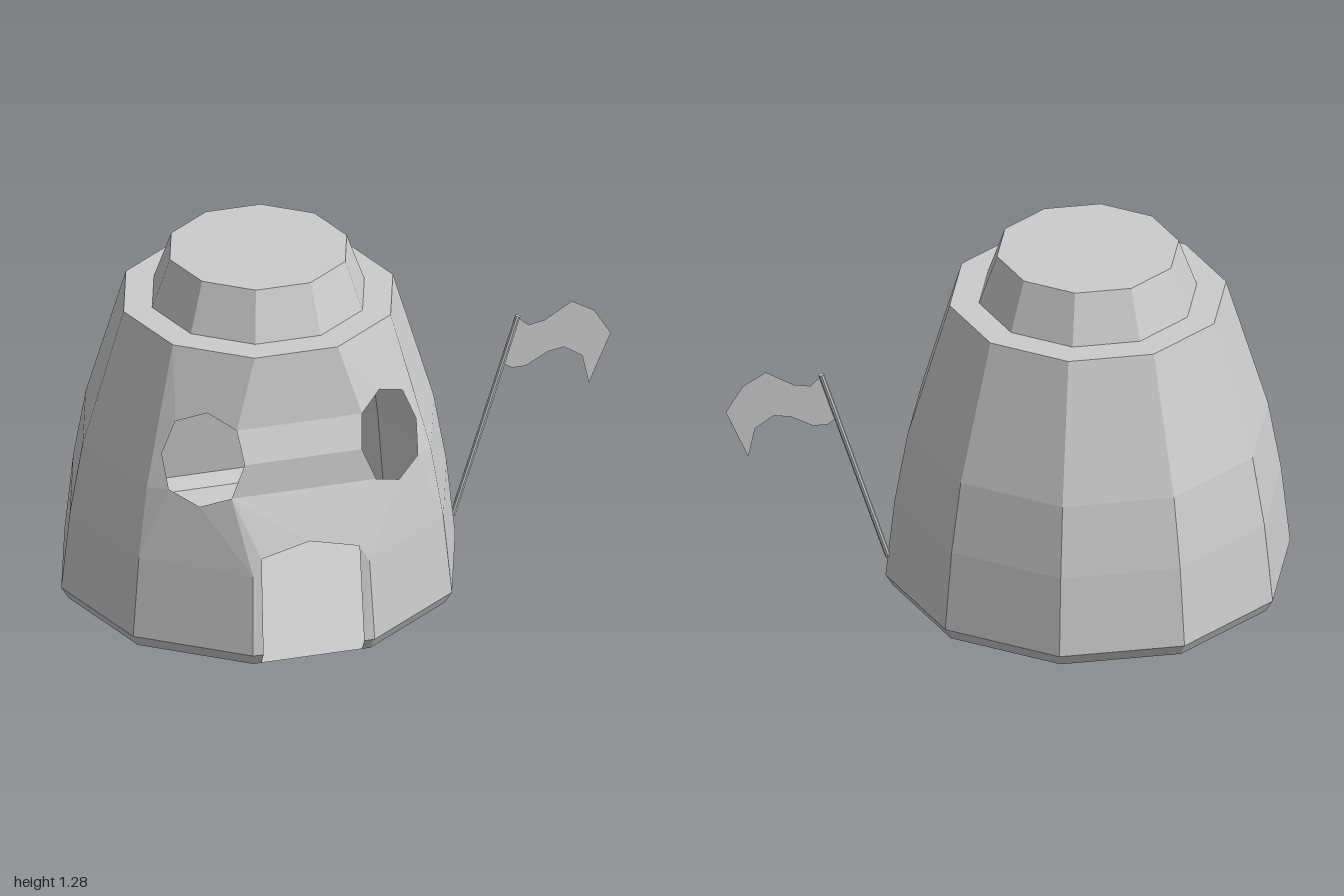
import * as THREE from 'three';

const CX = -0.283, SIDES = 10;
const grey = () => new THREE.MeshStandardMaterial({ color: 0xcccccc, flatShading: true, side: THREE.DoubleSide });

// Corner of the ten-sided tower; angle index 0 points to +x, index 2.5 to +z
const corner = (i, r, y) => {
  const a = (i * 2 * Math.PI) / SIDES;
  return [CX + r * Math.cos(a), y, r * Math.sin(a)];
};
const mirror = ([x, y, z]) => [2 * CX - x, y, z];

// Collects convex polygons (corners counter-clockwise from outside) as triangles
class Faces {
  constructor() { this.positions = []; }
  add(...p) {
    for (let i = 1; i < p.length - 1; i++) this.positions.push(...p[0], ...p[i], ...p[i + 1]);
  }
  addBoth(...p) {
    this.add(...p);
    this.add(...p.map(mirror).reverse());
  }
  band(i, r0, y0, r1, y1) {
    this.add(corner(i, r0, y0), corner(i, r1, y1), corner(i + 1, r1, y1), corner(i + 1, r0, y0));
  }
  mesh(name) {
    const g = new THREE.BufferGeometry();
    g.setAttribute('position', new THREE.Float32BufferAttribute(this.positions, 3));
    g.computeVertexNormals();
    const m = new THREE.Mesh(g, grey());
    m.name = name;
    return m;
  }
}

// Radius and height of the wall rings
const wall = [[0.69, 0], [0.717, 0.045], [0.685, 0.34], [0.639, 0.6], [0.49, 1.1]];

function shell() {
  const f = new Faces();
  for (let i = 0; i < SIDES; i++) {
    if (i === 2) continue; // doorway side
    const rows = i === 1 || i === 3 ? 2 : 4; // window sides stop below the window
    for (let k = 0; k < rows; k++) f.band(i, ...wall[k], ...wall[k + 1]);
  }
  return f.mesh('towerWall');
}

function frontWall() {
  const f = new Faces();
  // Window rim, clockwise from the top
  const h = [
    [0.03, 0.89, 0.43], [0.13, 0.845, 0.375], [0.18, 0.725, 0.375], [0.17, 0.61, 0.43],
    [0.08, 0.565, 0.505], [-0.02, 0.61, 0.56], [-0.07, 0.73, 0.552], [-0.055, 0.845, 0.505],
  ];
  // Outer column beside the window, from top to bottom
  const r = [[0.49, 1.1], [0.567, 0.845], [0.602, 0.725], [0.639, 0.6], [0.685, 0.34]].map(([q, y]) => corner(1, q, y));
  const top = corner(2, 0.49, 1.1), low = corner(2, 0.685, 0.34);
  const sill = corner(2, 0.717, 0.045), foot = corner(2, 0.69, 0);

  // Wall around each window
  f.addBoth(top, h[7], h[0]);
  f.addBoth(top, h[0], r[0]);
  f.addBoth(r[0], h[0], h[1]);
  f.addBoth(r[0], h[1], r[1]);
  f.addBoth(r[1], h[1], h[2], r[2]);
  f.addBoth(r[2], h[2], h[3], r[3]);
  f.addBoth(r[3], h[3], r[4]);
  f.addBoth(r[4], h[3], h[4]);
  f.addBoth(r[4], h[4], low);
  f.addBoth(low, h[4], h[5]);

  // Wall between the windows
  const column = [top, h[7], h[6], h[5]];
  for (let k = 0; k < 3; k++) {
    f.add(column[k], mirror(column[k]), mirror(column[k + 1]), column[k + 1]);
  }

  // Wall around the doorway
  const peak = [CX, 0.44, 0.632], shoulder = [-0.105, 0.4, 0.642];
  const jamb = [-0.1, 0.045, 0.682], base = [-0.1, 0, 0.656];
  f.add(h[5], mirror(h[5]), peak);
  f.addBoth(h[5], peak, shoulder);
  f.addBoth(h[5], shoulder, low);
  f.addBoth(low, shoulder, jamb, sill);
  f.addBoth(sill, jamb, base, foot);
  return f.mesh('frontWall');
}

function roof() {
  const f = new Faces();
  for (let i = 0; i < SIDES; i++) {
    f.band(i, 0.49, 1.1, 0.386, 1.1);
    f.band(i, 0.386, 1.1, 0.322, 1.28);
    f.add([CX, 1.28, 0], corner(i + 1, 0.322, 1.28), corner(i, 0.322, 1.28));
  }
  return f.mesh('roof');
}

function floor() {
  const f = new Faces();
  for (let i = 0; i < SIDES; i++) f.add([CX, 0, 0], corner(i, 0.69, 0), corner(i + 1, 0.69, 0));
  return f.mesh('floor');
}

function flag() {
  const g = new THREE.Group();
  g.name = 'flag';
  // Leaning pole
  const a = new THREE.Vector3(0.425, 0.12, 0), b = new THREE.Vector3(0.662, 0.868, 0);
  const dir = b.clone().sub(a);
  const pole = new THREE.Mesh(new THREE.CylinderGeometry(0.01, 0.01, dir.length(), 8), grey());
  pole.position.copy(a).add(b).multiplyScalar(0.5);
  pole.quaternion.setFromUnitVectors(new THREE.Vector3(0, 1, 0), dir.normalize());
  pole.name = 'flagPole';
  // Waving cloth
  const outline = [
    [0.658, 0.865], [0.70, 0.826], [0.76, 0.837], [0.858, 0.896], [0.94, 0.848], [1.0, 0.75], [0.92, 0.565],
    [0.896, 0.676], [0.83, 0.72], [0.77, 0.71], [0.69, 0.666], [0.64, 0.666], [0.604, 0.69],
  ].map(([x, y]) => new THREE.Vector2(x, y));
  const cloth = new THREE.Mesh(new THREE.ShapeGeometry(new THREE.Shape(outline)), grey());
  cloth.name = 'flagCloth';
  g.add(pole, cloth);
  return g;
}

export function createModel() {
  const model = new THREE.Group();
  model.name = 'tower';
  model.add(shell(), frontWall(), roof(), floor(), flag());
  return model;
}
